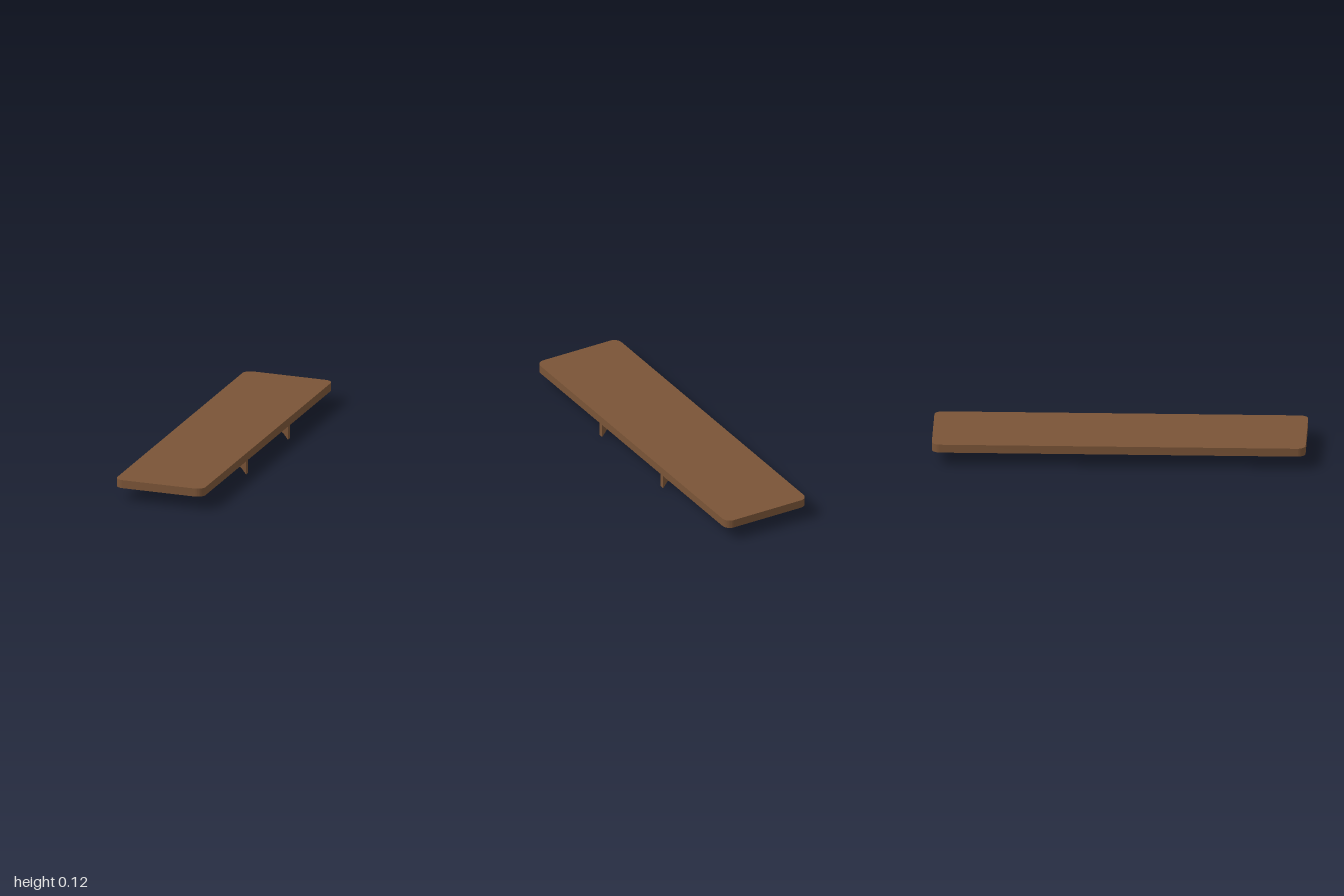
import * as THREE from 'three';
import { toCreasedNormals } from 'three/addons/utils/BufferGeometryUtils.js';

const HALF_W = 0.252, HALF_L = 1, BOTTOM = 0.074, TOP = 0.119, RADIUS = 0.045;

export function createModel() {
  const model = new THREE.Group();
  model.name = 'shelf';
  const wood = new THREE.MeshStandardMaterial({ color: 0x7a5437 });
  wood.name = 'brown wood';

  // Board: rounded rectangle, extruded upwards
  const outline = new THREE.Shape();
  [[1, 1, 0], [-1, 1, 1], [-1, -1, 2], [1, -1, 3]].forEach(([sx, sy, quarter]) => {
    const start = quarter * Math.PI / 2;
    outline.absarc(sx * (HALF_W - RADIUS), sy * (HALF_L - RADIUS), RADIUS, start, start + Math.PI / 2, false);
  });
  outline.closePath();
  const boardGeometry = new THREE.ExtrudeGeometry(outline, {
    depth: TOP - BOTTOM, bevelEnabled: false, curveSegments: 8,
  });
  boardGeometry.rotateX(-Math.PI / 2).translate(0, BOTTOM, 0);
  const board = new THREE.Mesh(toCreasedNormals(boardGeometry, 0.6), wood);
  board.name = 'board';
  model.add(board);

  // Brackets: faceted curved gussets under one long edge
  const profile = new THREE.Shape([
    [HALF_W, BOTTOM], [0.05, BOTTOM], [0.185, 0.057], [0.225, 0.034], [HALF_W, 0],
  ].map(([x, y]) => new THREE.Vector2(x, y)));
  const thickness = 0.03;
  const bracketGeometry = new THREE.ExtrudeGeometry(profile, { depth: thickness, bevelEnabled: false });
  bracketGeometry.translate(0, 0, -thickness / 2);
  for (const [name, z] of [['frontBracket', 0.322], ['backBracket', -0.318]]) {
    const bracket = new THREE.Mesh(bracketGeometry, wood);
    bracket.name = name;
    bracket.position.z = z;
    model.add(bracket);
  }
  return model;
}
